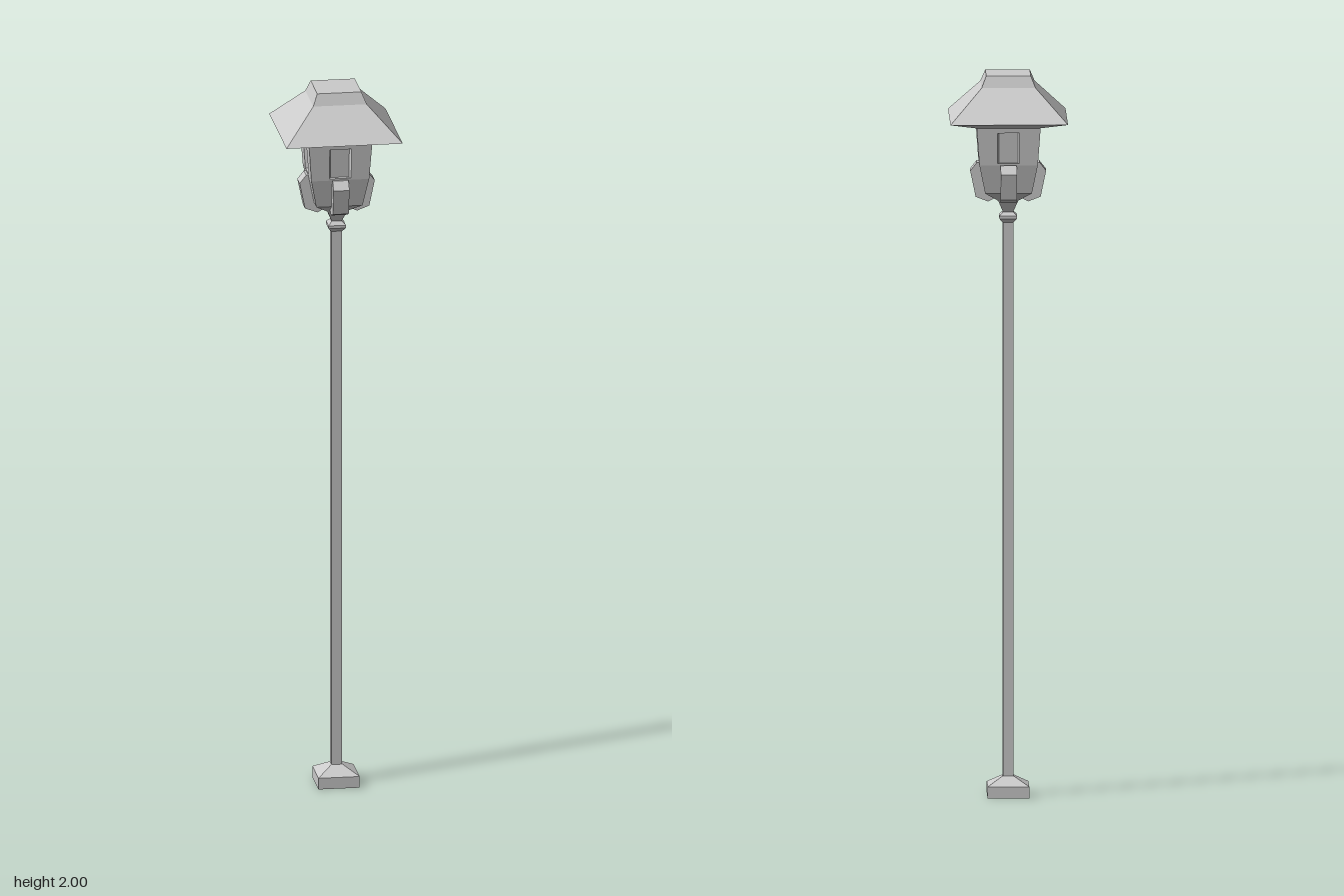
import * as THREE from 'three';

const material = new THREE.MeshStandardMaterial({ color: 0xcccccc, flatShading: true });

function addMesh(parent, name, geometry) {
  const flat = geometry.index ? geometry.toNonIndexed() : geometry;
  flat.computeVertexNormals();
  const mesh = new THREE.Mesh(flat, material);
  mesh.name = name;
  parent.add(mesh);
  return mesh;
}

// Closed square-section solid from [half width, height] pairs, bottom to top
function squareStack(profile) {
  const points = profile.map(([half, y]) => new THREE.Vector2(half * Math.SQRT2, y));
  points.unshift(new THREE.Vector2(0, profile[0][1]));
  points.push(new THREE.Vector2(0, profile[profile.length - 1][1]));
  return new THREE.LatheGeometry(points, 4, Math.PI / 4);
}

// Lantern wall: half width tapers from top to bottom
const wallBottom = 1.755, wallTop = 1.865, wallDepth = 0.012;
const wallHalf = (y) => 0.08 + 0.008 * (y - wallBottom) / (wallTop - wallBottom);

function windowWall() {
  const a = wallHalf(wallBottom), b = wallHalf(wallTop);
  const shape = new THREE.Shape([
    new THREE.Vector2(-a, wallBottom), new THREE.Vector2(a, wallBottom),
    new THREE.Vector2(b, wallTop), new THREE.Vector2(-b, wallTop),
  ]);
  shape.holes.push(new THREE.Path([
    new THREE.Vector2(-0.03, 1.76), new THREE.Vector2(-0.03, 1.845),
    new THREE.Vector2(0.03, 1.845), new THREE.Vector2(0.03, 1.76),
  ]));
  const geometry = new THREE.ExtrudeGeometry(shape, { depth: wallDepth, bevelEnabled: false });
  // Lean the wall outward and mitre its ends
  const p = geometry.attributes.position;
  for (let i = 0; i < p.count; i++) {
    const half = wallHalf(p.getY(i));
    const z = half - wallDepth + p.getZ(i);
    p.setXYZ(i, p.getX(i) * z / half, p.getY(i), z);
  }
  return geometry;
}

// Bracket side outline is [distance outward, height]
function bracketGeometry() {
  const outline = [[0.05, 1.755], [0.086, 1.755], [0.104, 1.732], [0.089, 1.66], [0.055, 1.647], [0.03, 1.66]];
  const shape = new THREE.Shape(outline.map(([r, y]) => new THREE.Vector2(r, y)));
  const geometry = new THREE.ExtrudeGeometry(shape, { depth: 0.044, bevelEnabled: false });
  return geometry.translate(0, 0, -0.022).rotateY(-Math.PI / 2);
}

export function createModel() {
  const model = new THREE.Group();
  model.name = 'streetLamp';

  // Foot and post
  addMesh(model, 'base', squareStack([[0.057, 0], [0.057, 0.032], [0.016, 0.056]]));
  addMesh(model, 'post', squareStack([[0.0145, 0.05], [0.0145, 1.6]]));

  // Collar flaring up into the lantern
  addMesh(model, 'collar', squareStack([
    [0.015, 1.588], [0.024, 1.599], [0.024, 1.607], [0.014, 1.617], [0.03, 1.656],
  ]));

  // Lantern body
  const lantern = new THREE.Group();
  lantern.name = 'lantern';
  model.add(lantern);
  addMesh(lantern, 'lanternBowl', squareStack([[0.028, 1.65], [0.064, 1.675], [0.08, wallBottom]]));
  addMesh(lantern, 'lanternGlass', squareStack([
    [wallHalf(wallBottom) - wallDepth, wallBottom], [wallHalf(wallTop) - wallDepth, wallTop],
  ]));
  for (let i = 0; i < 4; i++) {
    const angle = i * Math.PI / 2;
    addMesh(lantern, 'windowWall', windowWall()).rotation.y = angle;
    addMesh(lantern, 'bracket', bracketGeometry()).rotation.y = angle;
  }

  // Roof with sloped underside and flat cap
  addMesh(model, 'roof', squareStack([
    [0.085, 1.858], [0.161, 1.878], [0.074, 1.968], [0.061, 2],
  ]));

  return model;
}
